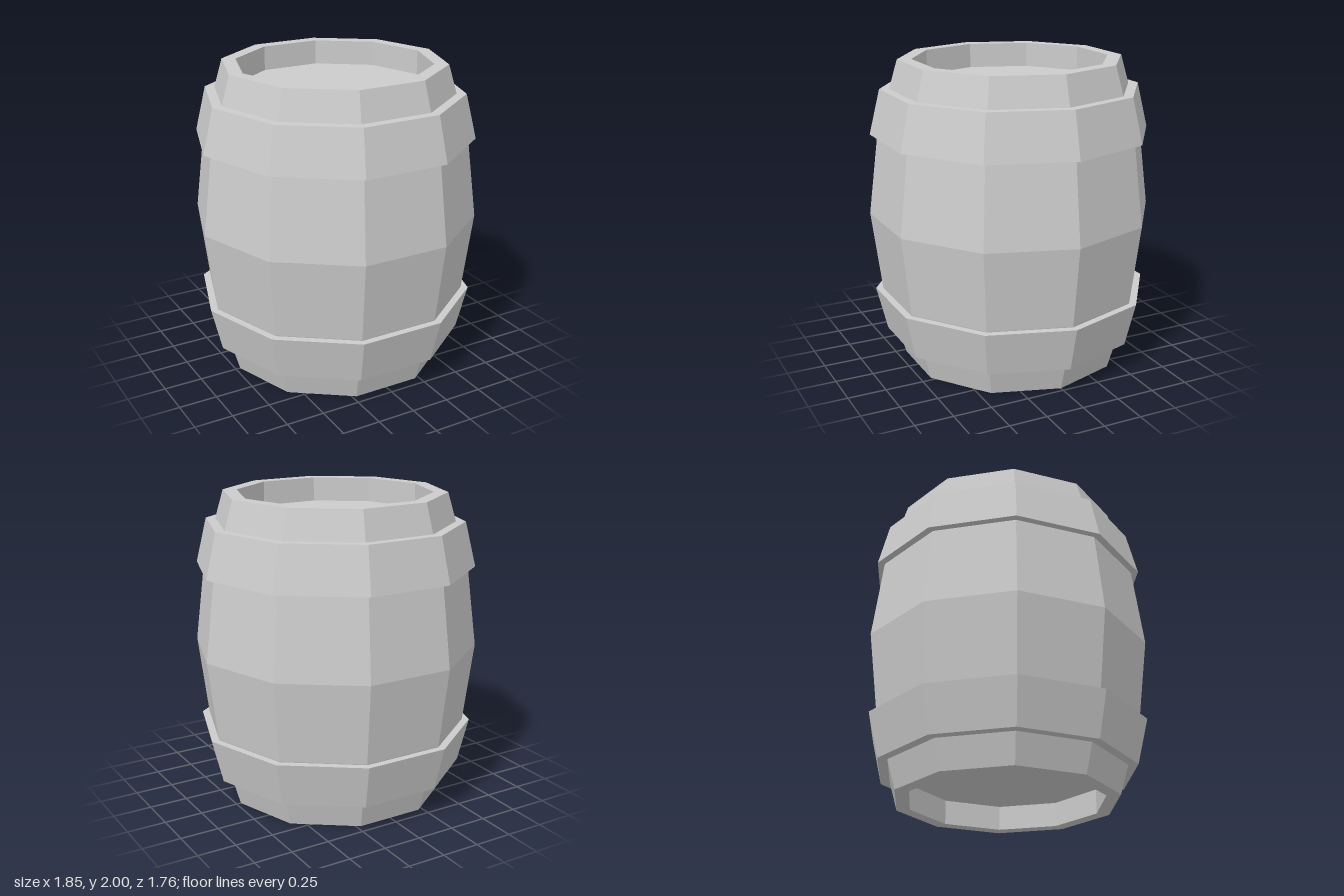
import * as THREE from 'three';

const SIDES = 10;
const material = new THREE.MeshStandardMaterial({ color: 0xcccccc, flatShading: true });

// Ten-sided turned part with a corner on the x axis; profile is [radius, y], outer side rising
function turned(name, profile) {
  const points = profile.map(([r, y]) => new THREE.Vector2(r, y));
  const mesh = new THREE.Mesh(new THREE.LatheGeometry(points, SIDES, Math.PI / 2), material);
  mesh.name = name;
  return mesh;
}

// Flips a profile about mid-height, keeping its direction of travel
const mirrored = (profile) => profile.map(([r, y]) => [r, 2 - y]).reverse();

export function createModel() {
  const group = new THREE.Group();
  group.name = 'barrel';

  // Body: bulging staves, flat rim and a recessed lid at each end
  const upperHalf = [[0.86, 1.52], [0.72, 2], [0.63, 2], [0.63, 1.84], [0, 1.84]];
  group.add(turned('body', [...mirrored(upperHalf), [0.925, 1], ...upperHalf]));

  // Hoops: sloping bands standing proud of the staves
  const hoop = [[0.84, 1.525], [0.907, 1.525], [0.837, 1.815], [0.76, 1.815]];
  group.add(turned('upperHoop', hoop), turned('lowerHoop', mirrored(hoop)));

  return group;
}
